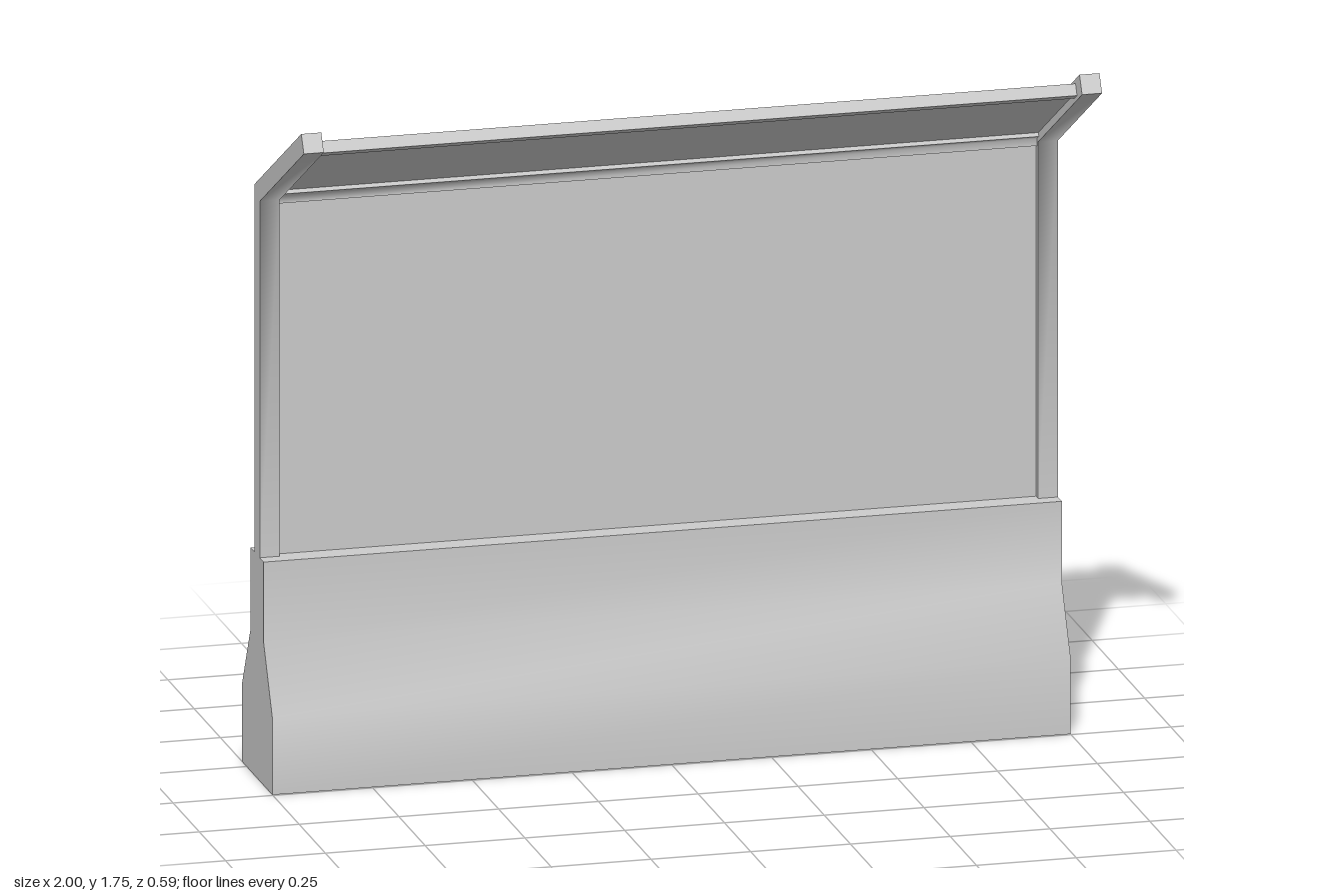
import * as THREE from 'three';
import { toCreasedNormals } from 'three/addons/utils/BufferGeometryUtils.js';

const material = new THREE.MeshStandardMaterial({ color: 0xcccccc });
const ELBOW = [-0.15, 1.482]; // z, y of the bend on the frame's centre line
const SLOPE = Math.PI / 6;
const BASE_TOP = 0.565;
const POST_WIDTH = 0.05;
const INNER_WIDTH = 2 - 2 * POST_WIDTH;

// Extrudes a (z, y) outline along x, centred on x, keeping hard corners sharp
function extrudeAcross(name, outline, width, x = 0) {
  const shape = new THREE.Shape(outline.map(([z, y]) => new THREE.Vector2(z, y)));
  const geometry = new THREE.ExtrudeGeometry(shape, { depth: width, bevelEnabled: false });
  geometry.rotateY(-Math.PI / 2).translate(x + width / 2, 0, 0);
  const mesh = new THREE.Mesh(toCreasedNormals(geometry, 1.2), material);
  mesh.name = name;
  return mesh;
}

// Point on the sloping part: distance from the elbow, offset square to the slope
function onSlope(along, offset) {
  return [
    ELBOW[0] + along * Math.cos(SLOPE) - offset * Math.sin(SLOPE),
    ELBOW[1] + along * Math.sin(SLOPE) + offset * Math.cos(SLOPE),
  ];
}

// Outline of a straight strip on the slope
function slopeStrip(from, to, half) {
  return [onSlope(from, -half), onSlope(to, -half), onSlope(to, half), onSlope(from, half)];
}

// Outline of a strip that rises from y = bottom, then bends forward with a mitred elbow
function bentStrip(bottom, length, half) {
  const [z, y] = ELBOW;
  const mitre = half * Math.tan(SLOPE);
  return [
    [z - half, bottom], [z + half, bottom], [z + half, y - mitre],
    onSlope(length, -half), onSlope(length, half), [z - half, y + mitre],
  ];
}

export function createModel() {
  const model = new THREE.Group();
  model.name = 'barrierWithScreen';

  // Concrete barrier with a wide foot and a narrow top
  model.add(extrudeAcross('barrierBase', [
    [-0.295, 0], [-0.005, 0], [-0.005, 0.195], [-0.0875, 0.36], [-0.0875, BASE_TOP],
    [-0.2125, BASE_TOP], [-0.2125, 0.36], [-0.295, 0.195],
  ], 2));

  // Bent posts at both ends
  for (const [name, side] of [['leftPost', 1], ['rightPost', -1]]) {
    model.add(extrudeAcross(name, bentStrip(BASE_TOP, 0.5, 0.025), POST_WIDTH, side * (1 - POST_WIDTH / 2)));
  }

  // Rails between the posts: one at the bend, one at the canopy's edge
  model.add(extrudeAcross('elbowRail', bentStrip(1.455, 0.03, 0.015), INNER_WIDTH));
  model.add(extrudeAcross('canopyRail', slopeStrip(0.42, 0.45, 0.015), INNER_WIDTH));

  // Thin upright screen and sloping canopy
  const wall = new THREE.Mesh(new THREE.BoxGeometry(INNER_WIDTH, 1.455 - BASE_TOP, 0.01), material);
  wall.position.set(0, (1.455 + BASE_TOP) / 2, ELBOW[0]);
  wall.name = 'screenPanel';
  model.add(wall);
  model.add(extrudeAcross('canopyPanel', slopeStrip(0.03, 0.42, 0.005), INNER_WIDTH));

  return model;
}
